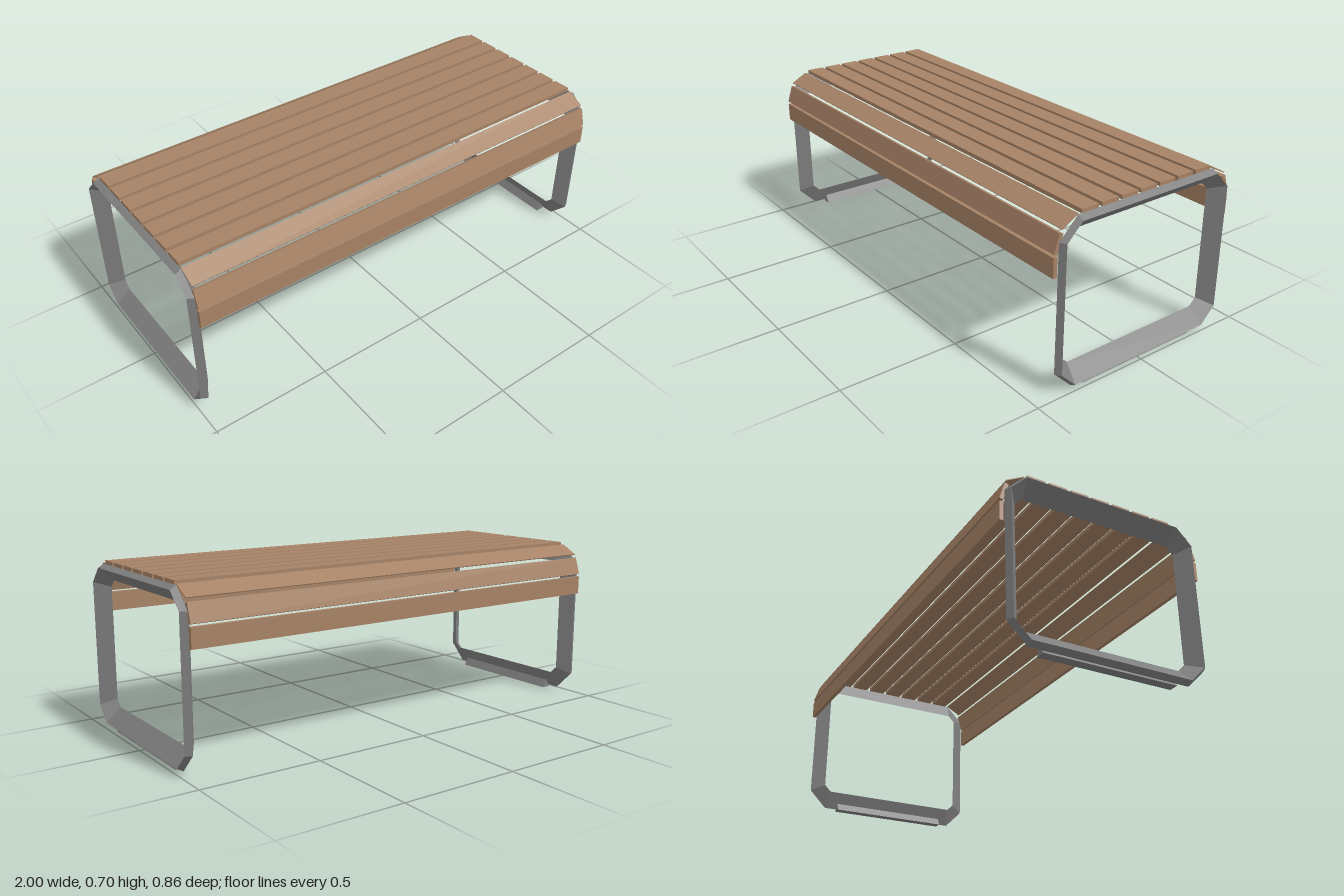
import * as THREE from 'three';

const wood = new THREE.MeshStandardMaterial({ color: 0xa68265, flatShading: true });
wood.name = 'brown wood';
const steel = new THREE.MeshStandardMaterial({ color: 0x808080, flatShading: true });
steel.name = 'grey steel';

// Plank along x; its outer face runs from (z0, y0) to (z1, y1), back to front
function plank(name, z0, y0, z1, y1, thick) {
  const dz = z1 - z0, dy = y1 - y0, len = Math.hypot(dz, dy);
  const mesh = new THREE.Mesh(new THREE.BoxGeometry(1.95, thick, len), wood);
  mesh.position.set(0, (y0 + y1) / 2 - (dz / len) * thick / 2, (z0 + z1) / 2 + (dy / len) * thick / 2);
  mesh.rotation.x = Math.atan2(-dy, dz);
  mesh.name = name;
  return mesh;
}

// Loop with cut corners in the zy plane: half width w, bottom b, top t, corner cut c
function ring(x, w, b, t, c) {
  return [[c - w, b], [w - c, b], [w, b + c], [w, t - c], [w - c, t], [c - w, t], [-w, t - c], [-w, b + c]]
    .map(([z, y]) => [x, y, z]);
}

// Closed leg loop with a slim triangular section, lofted between three rings
function legFrame(side) {
  const rings = [
    ring(0.94 * side, 0.35, 0.085, 0.615, 0.03),
    ring(0.975 * side, 0.41, 0.01, 0.685, 0.08),
    ring(1.0 * side, 0.395, 0.025, 0.67, 0.065),
  ];
  const index = [];
  for (let j = 0; j < 3; j++) {
    for (let i = 0; i < 8; i++) {
      const j2 = (j + 1) % 3, i2 = (i + 1) % 8;
      const a = j * 8 + i, b = j2 * 8 + i, c = j2 * 8 + i2, d = j * 8 + i2;
      if (side > 0) index.push(a, b, c, a, c, d);
      else index.push(a, c, b, a, d, c);
    }
  }
  const geo = new THREE.BufferGeometry();
  geo.setAttribute('position', new THREE.Float32BufferAttribute(rings.flat(2), 3));
  geo.setIndex(index);
  const flat = geo.toNonIndexed();
  flat.computeVertexNormals();
  const mesh = new THREE.Mesh(flat, steel);
  mesh.name = side > 0 ? 'leftLegFrame' : 'rightLegFrame';
  return mesh;
}

// Ridged strip under the frame
function foot(side) {
  const shape = new THREE.Shape([[-0.02, 0], [0.02, 0], [0, 0.035]].map(([x, y]) => new THREE.Vector2(x, y)));
  const geo = new THREE.ExtrudeGeometry(shape, { depth: 0.55, bevelEnabled: false });
  const mesh = new THREE.Mesh(geo, steel);
  mesh.position.set(0.96 * side, 0, -0.275);
  mesh.name = side > 0 ? 'leftFoot' : 'rightFoot';
  return mesh;
}

export function createModel() {
  const bench = new THREE.Group();
  bench.name = 'bench';

  for (const side of [1, -1]) bench.add(legFrame(side), foot(side));

  // Seven flat seat slats
  for (let i = 0; i < 7; i++) {
    const z = (i - 3) * 0.092;
    bench.add(plank('seatSlat', z - 0.038, 0.7, z + 0.038, 0.7, 0.016));
  }

  // Slats wrapping over the front and back edges: corner, shoulder, apron
  const edge = [
    ['CornerSlat', 0.33, 0.69, 0.4, 0.652, 0.004],
    ['ShoulderSlat', 0.407, 0.638, 0.43, 0.565, 0.016],
    ['ApronSlat', 0.43, 0.553, 0.43, 0.475, 0.016],
  ];
  for (const [name, z0, y0, z1, y1, thick] of edge) {
    bench.add(plank('front' + name, z0, y0, z1, y1, thick));
    bench.add(plank('back' + name, -z1, y1, -z0, y0, thick));
  }
  return bench;
}
